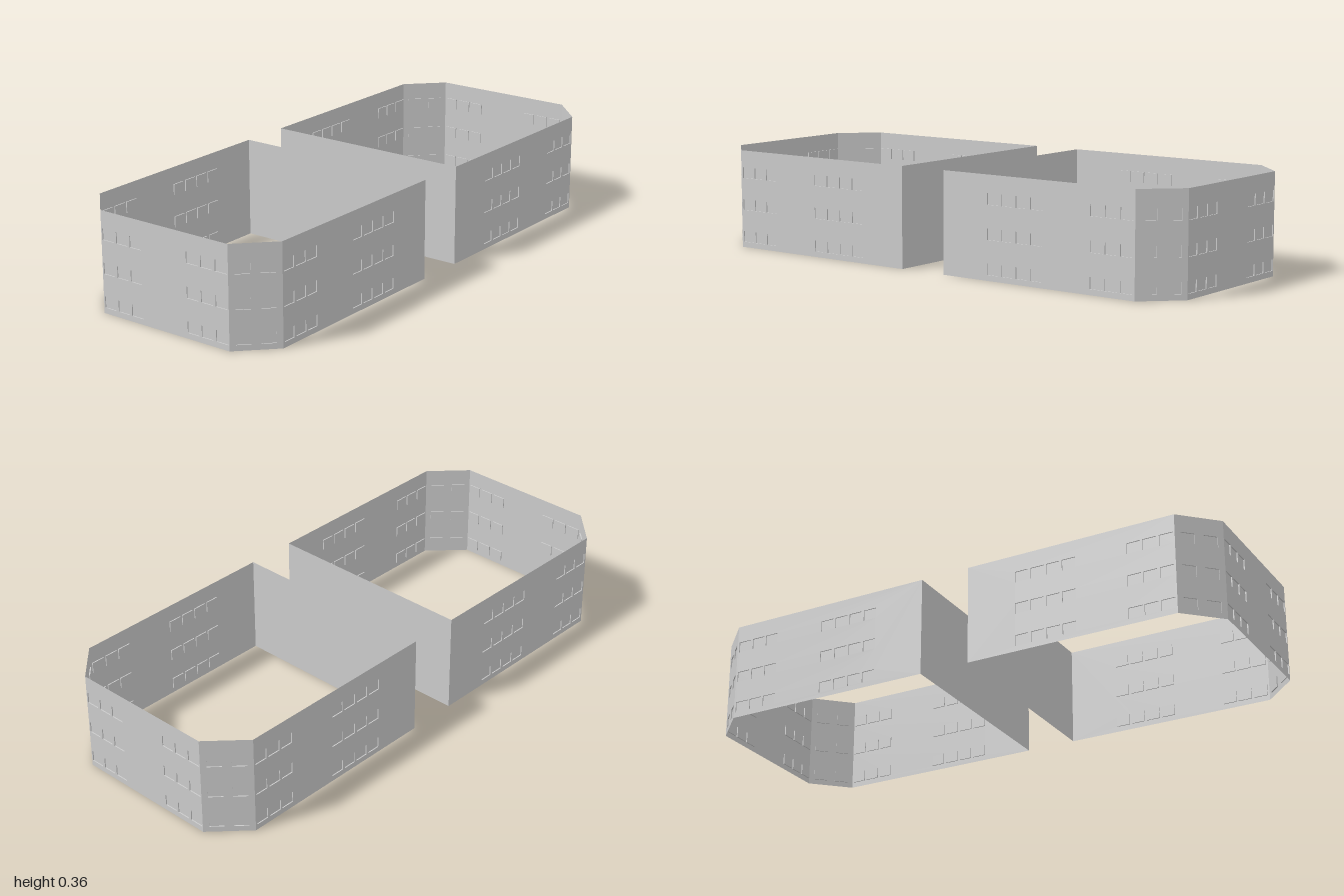
import * as THREE from 'three';

const HEIGHT = 0.363, WIN_W = 0.05, WIN_H = 0.04, RECESS = 0.004;
const ROWS = [0.02, 0.14, 0.26];

const material = new THREE.MeshStandardMaterial({ color: 0xcccccc, flatShading: true, side: THREE.DoubleSide });

// Shallow window niche: a box without its front face
const niche = new THREE.BoxGeometry(WIN_W, WIN_H, RECESS);
const faces = Array.from(niche.index.array);
faces.splice(24, 6);
niche.setIndex(faces);
niche.clearGroups();

// Thin wall from a to b (left to right seen from outside), windows centred at given offsets
function makeWall(name, a, b, offsets) {
  const wall = new THREE.Group();
  wall.name = name;
  const dx = b[0] - a[0], dz = b[1] - a[1], length = Math.hypot(dx, dz);
  const shape = new THREE.Shape();
  shape.moveTo(0, 0).lineTo(length, 0).lineTo(length, HEIGHT).lineTo(0, HEIGHT).closePath();

  for (const x of offsets) {
    for (const y of ROWS) {
      const l = x - WIN_W / 2, r = x + WIN_W / 2, t = y + WIN_H;
      const hole = new THREE.Path();
      hole.moveTo(l, y).lineTo(l, t).lineTo(r, t).lineTo(r, y).closePath();
      shape.holes.push(hole);
      const win = new THREE.Mesh(niche, material);
      win.name = 'window';
      win.position.set(x, y + WIN_H / 2, -RECESS / 2);
      wall.add(win);
    }
  }
  const panel = new THREE.Mesh(new THREE.ShapeGeometry(shape), material);
  panel.name = 'wallPanel';
  wall.add(panel);
  wall.position.set(a[0], 0, a[1]);
  wall.rotation.y = Math.atan2(-dz, dx);
  return wall;
}

// One block: open ring of walls with two chamfered outer corners
function makeBlock(name, side, inner) {
  const block = new THREE.Group();
  block.name = name;
  const corner = 0.877, depth = 0.394, flank = 0.273;
  const longWindows = [0.305, 0.365, 0.425, 0.485, 0.727, 0.785, 0.845];
  const cornerWindows = [0.046, 0.127];
  const endWindows = [-0.243, -0.182, -0.122, 0.122, 0.182, 0.243].map((z) => z + flank);

  const walls = [
    ['frontWall', [inner, depth], [corner, depth], longWindows.map((x) => x - inner)],
    ['frontCorner', [corner, depth], [1, flank], cornerWindows],
    ['endWall', [1, flank], [1, -flank], endWindows],
    ['backCorner', [1, -flank], [corner, -depth], cornerWindows.map((o) => 0.173 - o)],
    ['backWall', [corner, -depth], [inner, -depth], longWindows.map((x) => corner - x)],
    ['innerWall', [inner, -depth], [inner, depth], []],
  ];
  for (const [wallName, a, b, offsets] of walls) {
    if (side > 0) {
      block.add(makeWall(wallName, a, b, offsets));
    } else {
      // Mirror across x, reversing the walk so the outside stays outside
      const length = Math.hypot(b[0] - a[0], b[1] - a[1]);
      block.add(makeWall(wallName, [-b[0], b[1]], [-a[0], a[1]], offsets.map((o) => length - o)));
    }
  }
  return block;
}

export function createModel() {
  const model = new THREE.Group();
  model.name = 'twinBlocks';
  model.add(makeBlock('leftBlock', 1, 0.09), makeBlock('rightBlock', -1, 0.096));
  return model;
}
